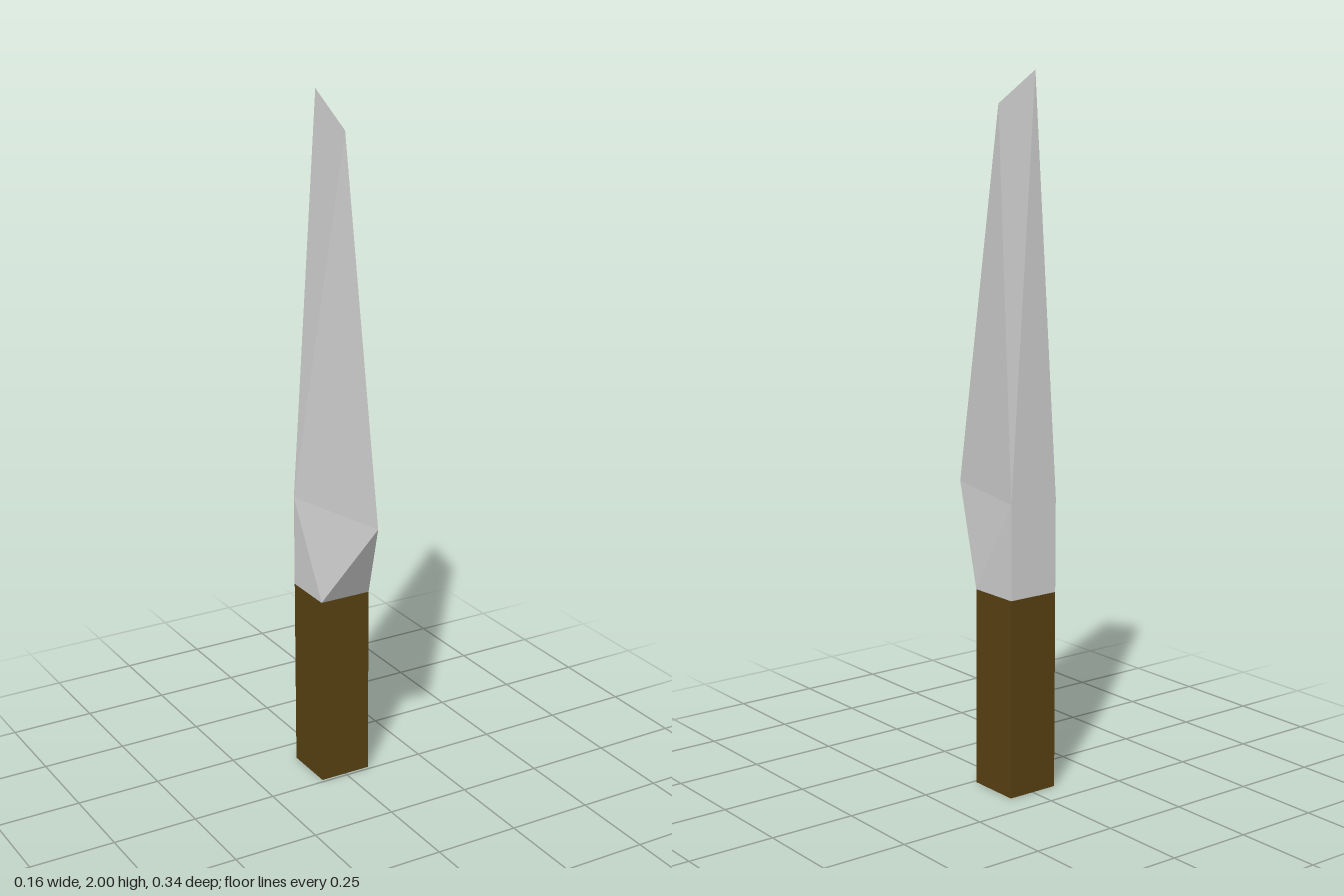
import * as THREE from 'three';

const HALF = 0.078;              // half width of handle and blade
const BACK = -0.168, FRONT = -0.01;
const HANDLE_TOP = 0.57, BELLY = 0.84;

// Half of a mirrored solid: triangles are flipped across x = 0
function mirrorTriangles(triangles) {
  return triangles.map(([a, b, c]) => [a, c, b].map(([x, y, z]) => [-x, y, z]));
}

function createBlade() {
  const baseFront = [HALF, HANDLE_TOP, FRONT];
  const baseBack = [HALF, HANDLE_TOP, BACK];
  const shoulder = [HALF, BELLY, BACK];
  const belly = [0, BELLY, 0.168];
  const tipFront = [0, 1.91, FRONT];
  const tipBack = [0, 2, BACK];
  const baseMid = [0, HANDLE_TOP, BACK];
  const spineMid = [0, BELLY, BACK];
  const frontMid = [0, HANDLE_TOP, FRONT];

  const half = [
    // side of the blade
    [baseFront, baseBack, shoulder],
    [baseFront, shoulder, belly],
    [belly, shoulder, tipFront],
    [shoulder, tipBack, tipFront],
    // sloping face below the cutting edge
    [frontMid, baseFront, belly],
    // flat spine
    [baseBack, baseMid, spineMid],
    [baseBack, spineMid, shoulder],
    [shoulder, spineMid, tipBack],
  ];
  const points = [...half, ...mirrorTriangles(half)].flat(2);
  const geometry = new THREE.BufferGeometry();
  geometry.setAttribute('position', new THREE.Float32BufferAttribute(points, 3));
  geometry.computeVertexNormals();

  const mesh = new THREE.Mesh(geometry,
    new THREE.MeshStandardMaterial({ color: 0xcccccc, flatShading: true }));
  mesh.name = 'blade';
  return mesh;
}

function createHandle() {
  const mesh = new THREE.Mesh(
    new THREE.BoxGeometry(HALF * 2, HANDLE_TOP, FRONT - BACK),
    new THREE.MeshStandardMaterial({ color: 0x574012 }));
  mesh.position.set(0, HANDLE_TOP / 2, (FRONT + BACK) / 2);
  mesh.name = 'handle';
  return mesh;
}

export function createModel() {
  const knife = new THREE.Group();
  knife.name = 'knife';
  knife.add(createHandle(), createBlade());
  return knife;
}
